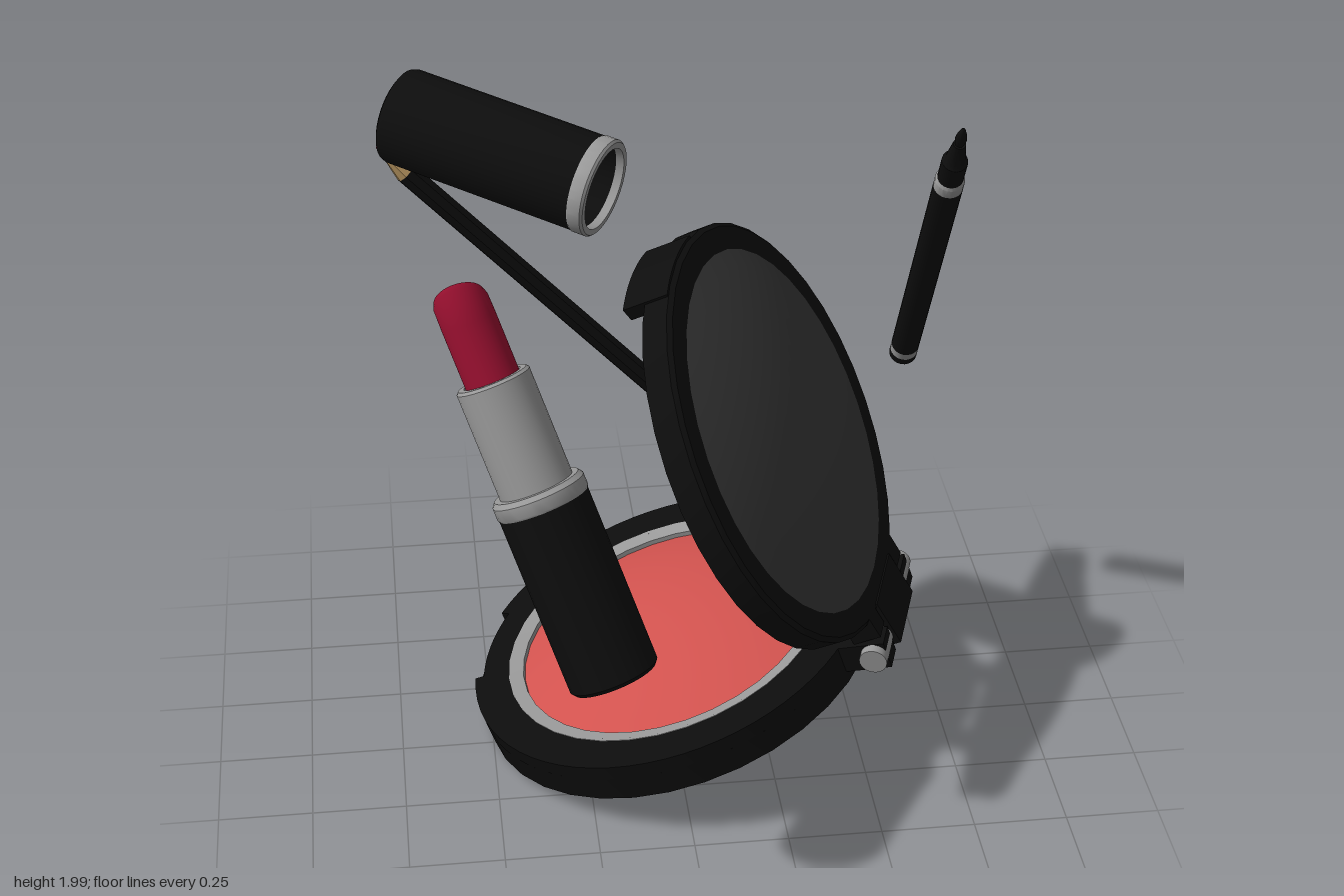
import * as THREE from 'three';
import { toCreasedNormals } from 'three/addons/utils/BufferGeometryUtils.js';

const mat = (color) => new THREE.MeshStandardMaterial({ color });
const black = mat(0x0d0d0d), metal = mat(0x999999), panel = mat(0x3a3a3a);
const red = mat(0x9a1030), blush = mat(0xd0524e), wood = mat(0xb08f5c);

function add(parent, name, geometry, material, crease = 0.6) {
  const mesh = new THREE.Mesh(toCreasedNormals(geometry, crease), material);
  mesh.name = name;
  parent.add(mesh);
  return mesh;
}

// Turned part; the profile runs from the bottom, outward and up
function turned(parent, name, profile, material, segments = 36, crease = 0.6) {
  const pts = profile.map(([r, y]) => new THREE.Vector2(r, y));
  return add(parent, name, new THREE.LatheGeometry(pts, segments), material, crease);
}

// Box given by its limits
function block(parent, name, x0, x1, y0, y1, z0, z1, material) {
  const g = new THREE.BoxGeometry(x1 - x0, y1 - y0, z1 - z0);
  g.translate((x0 + x1) / 2, (y0 + y1) / 2, (z0 + z1) / 2);
  return add(parent, name, g, material);
}

// Solid piece of a ring around y
function arcBlock(parent, name, r0, r1, y0, y1, a0, a1, material) {
  const shape = new THREE.Shape();
  shape.absarc(0, 0, r1, a0, a1, false);
  shape.absarc(0, 0, r0, a1, a0, true);
  const g = new THREE.ExtrudeGeometry(shape, { depth: y1 - y0, bevelEnabled: false, curveSegments: 32 });
  g.rotateX(-Math.PI / 2).translate(0, y0, 0);
  return add(parent, name, g, material);
}

// Shallow dome profile from the edge to the axis
function dome(radius, yEdge, yTop) {
  return Array.from({ length: 11 }, (_, i) => {
    const t = 1 - i / 10;
    return [radius * t, yTop + (yEdge - yTop) * t * t];
  });
}

// Group whose local y axis runs from one point towards another
function along(parent, name, from, to) {
  const group = new THREE.Group();
  group.name = name;
  const start = new THREE.Vector3(...from);
  const dir = new THREE.Vector3(...to).sub(start).normalize();
  group.position.copy(start);
  group.quaternion.setFromUnitVectors(new THREE.Vector3(0, 1, 0), dir);
  parent.add(group);
  return group;
}

function buildCompact(root) {
  const compact = new THREE.Group();
  compact.name = 'compact';
  compact.position.set(0.03, 0.185, -0.1);
  compact.rotation.set(0, -0.349, 0.328, 'ZYX');
  root.add(compact);

  // Base with a catch recess opposite the hinge
  const notch = 0.25;
  turned(compact, 'baseTray', [[0, 0], [0.565, 0], [0.565, 0.07], [0, 0.07]], black);
  arcBlock(compact, 'baseRim', 0.455, 0.565, 0.07, 0.112, -Math.PI + notch, Math.PI - notch, black);
  arcBlock(compact, 'catchRecess', 0.455, 0.54, 0.07, 0.112, Math.PI - notch, Math.PI + notch, black);
  turned(compact, 'panRing', [[0.465, 0.07], [0.465, 0.114], [0.425, 0.106], [0.425, 0.07]], metal);
  turned(compact, 'blushPowder', dome(0.43, 0.09, 0.175), blush);

  // Hinge on the base side
  const px = 0.625, py = 0.075;
  for (const s of [-1, 1]) {
    block(compact, 'baseHingeLug', 0.53, 0.66, 0.03, 0.112, s * 0.15 - 0.035, s * 0.15 + 0.035, black);
  }
  const pin = new THREE.CylinderGeometry(0.037, 0.037, 0.42, 20);
  pin.rotateX(Math.PI / 2).translate(px, py, 0);
  add(compact, 'hingePin', pin, metal);

  // Lid turned open about the pin
  const hinge = new THREE.Group();
  hinge.name = 'lidHinge';
  hinge.position.set(px, py, 0);
  hinge.rotation.z = -1.379;
  compact.add(hinge);
  block(hinge, 'lidHingeLug', -0.1, 0.04, -0.04, 0.045, -0.105, 0.105, black);
  for (const s of [-1, 1]) {
    block(hinge, 'lidHingeShoulder', -0.12, -0.045, -0.04, 0.04, s * 0.145 - 0.03, s * 0.145 + 0.03, black);
  }

  const lid = new THREE.Group();
  lid.name = 'lid';
  lid.position.x = -0.635;
  hinge.add(lid);
  turned(lid, 'lidShell', [[0, -0.02], [0.48, -0.02], [0.48, -0.04], [0.565, -0.04], [0.565, 0.03],
    [0.553, 0.04], [0, 0.04]], black);
  turned(lid, 'lidPanel', dome(0.49, 0.041, 0.115), panel);
  turned(lid, 'mirror', [[0, -0.022], [0.48, -0.022], [0.48, -0.02]], panel);
  arcBlock(lid, 'lidCatch', 0.53, 0.57, -0.1, 0.03, Math.PI - 0.235, Math.PI + 0.235, black);
}

function buildLipstick(root) {
  const stick = along(root, 'lipstick', [-0.225, 0.735, 0.72], [-0.55, 1.61, 0.36]);
  turned(stick, 'lipstickCase', [[0, 0], [0.106, 0], [0.114, 0.01], [0.114, 0.465], [0, 0.465]], black);
  turned(stick, 'caseCollar', [[0.114, 0.465], [0.117, 0.47], [0.117, 0.5], [0.108, 0.512], [0.09, 0.512]], metal);
  turned(stick, 'innerBarrel', [[0.093, 0.5], [0.093, 0.785], [0.087, 0.792], [0.072, 0.792], [0.072, 0.76]], metal);

  // Bullet with a slanted tip
  const g = new THREE.LatheGeometry(
    [[0.068, 0.75], [0.068, 0.94], [0.067, 0.985], [0.061, 1], [0, 1.003]].map((p) => new THREE.Vector2(...p)), 32);
  const pos = g.attributes.position;
  for (let i = 0; i < pos.count; i++) {
    if (pos.getY(i) > 0.95) pos.setY(i, pos.getY(i) + 0.65 * pos.getZ(i));
  }
  add(stick, 'lipstickBullet', g, red, 0.7);

  // Loose hollow cap
  const cap = along(root, 'lipstickCap', [-0.665, 1.88, -0.09], [-0.19, 1.795, 0.2]);
  turned(cap, 'capShell', [[0, 0], [0.106, 0], [0.116, 0.006], [0.12, 0.018], [0.12, 0.525]], black);
  turned(cap, 'capRing', [[0.12, 0.525], [0.122, 0.528], [0.122, 0.56], [0.117, 0.566], [0.102, 0.566],
    [0.102, 0.545]], metal);
  turned(cap, 'capInside', [[0.102, 0.545], [0.102, 0.03], [0, 0.03]], black);
}

function buildLipPencil(root) {
  const pencil = along(root, 'lipPencil', [0.15, 0.525, -0.8], [-0.725, 1.455, -0.8]);
  const r = 0.032;
  const part = (name, pts, m) => turned(pencil, name, pts, m, 8, 0.3);
  part('pencilEnd', [[0, 0], [r - 0.004, 0], [r, 0.006], [r, 0.064]], red);
  part('pencilBand', [[r, 0.064], [r, 0.082]], metal);
  part('pencilBody', [[r, 0.082], [r, 1.165]], black);
  part('sharpenedWood', [[r, 1.165], [0.012, 1.235]], wood);
  part('pencilLead', [[0.012, 1.235], [0.003, 1.275], [0, 1.277]], red);
}

function buildEyeliner(root) {
  const pen = along(root, 'eyeliner', [0.69, 0.92, -0.43], [0.69, 1.88, 0.145]);
  const r = 0.038;
  const part = (name, pts, m) => turned(pen, name, pts, m, 20);
  part('linerEnd', [[0, 0], [r - 0.008, 0], [r, 0.008], [r, 0.033]], black);
  part('linerLowerBand', [[r, 0.033], [r, 0.06]], metal);
  part('linerBody', [[r, 0.06], [r, 0.862]], black);
  part('linerUpperBand', [[r, 0.862], [r, 0.892], [0.033, 0.9]], metal);
  part('linerNeck', [[0.033, 0.9], [0.033, 0.975], [0.026, 0.985], [0.016, 1.05], [0, 1.05]], black);
  part('linerTip', [[0.01, 1.045], [0.015, 1.07], [0.012, 1.09], [0.005, 1.112], [0, 1.119]], black);
}

export function createModel() {
  const root = new THREE.Group();
  root.name = 'makeupSet';
  buildCompact(root);
  buildLipstick(root);
  buildLipPencil(root);
  buildEyeliner(root);
  return root;
}
